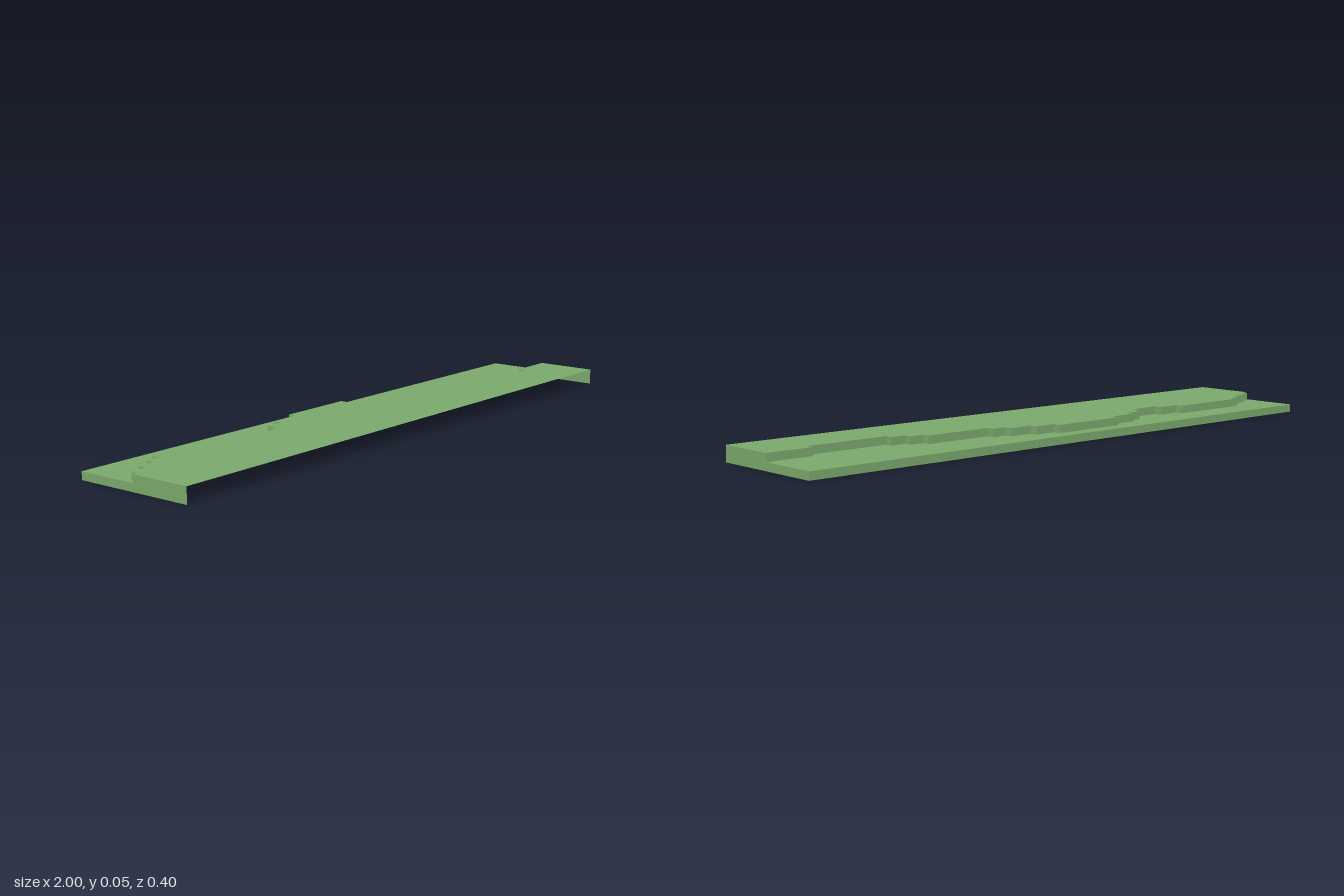
import * as THREE from 'three';

const LOW = 0.025, HIGH = 0.05, DEPTH = 0.2;

// Stepped cliff line: [x where the run ends, z of the run]
const RUNS = [
  [-0.98, 0], [-0.93, -0.025], [-0.875, -0.05], [-0.83, -0.075], [-0.555, -0.1],
  [-0.48, -0.075], [-0.375, -0.05], [-0.355, -0.075], [-0.3, -0.1], [-0.203, -0.125],
  [0.05, -0.15], [0.122, -0.125], [0.2, -0.1], [0.25, -0.075], [0.475, -0.05],
  [0.523, -0.025], [0.573, 0], [0.848, 0.025], [1, 0],
];

// Corner points of the cliff line, from x = -1 to x = 1
function cliffPath() {
  const path = [];
  let x = -1;
  for (const [end, z] of RUNS) {
    path.push([x, z], [end, z]);
    x = end;
  }
  return path;
}

// Flat horizontal face from an [x, z] outline
function flatFace(outline, y) {
  const shape = new THREE.Shape(outline.map(([x, z]) => new THREE.Vector2(x, -z)));
  return new THREE.ShapeGeometry(shape).rotateX(-Math.PI / 2).translate(0, y, 0);
}

// Vertical faces standing along an [x, z] path
function wall(path, y0, y1) {
  const pos = [];
  for (let i = 0; i < path.length - 1; i++) {
    const [ax, az] = path[i], [bx, bz] = path[i + 1];
    pos.push(ax, y0, az, ax, y1, az, bx, y1, bz);
    pos.push(ax, y0, az, bx, y1, bz, bx, y0, bz);
  }
  const geo = new THREE.BufferGeometry();
  geo.setAttribute('position', new THREE.Float32BufferAttribute(pos, 3));
  geo.computeVertexNormals();
  return geo;
}

export function createModel() {
  const group = new THREE.Group();
  group.name = 'terrainStrip';
  const grass = new THREE.MeshStandardMaterial({ color: 0x7aa86b, side: THREE.DoubleSide });
  grass.name = 'grassGreen';
  const add = (name, geo) => {
    const mesh = new THREE.Mesh(geo, grass);
    mesh.name = name;
    group.add(mesh);
  };
  const cliff = cliffPath();

  // Two ground levels meeting at the cliff
  add('upperGround', flatFace([[-1, DEPTH], [1, DEPTH], ...[...cliff].reverse()], HIGH));
  add('lowerGround', flatFace([...cliff, [1, -DEPTH], [-1, -DEPTH]], LOW));
  add('cliffFace', wall(cliff, LOW, HIGH));

  // Thin skirts; the front and underside stay open
  add('backSkirt', wall([[-1, -DEPTH], [1, -DEPTH]], 0, LOW));
  for (const [side, name] of [[1, 'left'], [-1, 'right']]) {
    const edge = (za, zb) => (side > 0 ? [[1, za], [1, zb]] : [[-1, zb], [-1, za]]);
    add(name + 'LowSkirt', wall(edge(-DEPTH, 0), 0, LOW));
    add(name + 'HighSkirt', wall(edge(0, DEPTH), 0, HIGH));
  }
  return group;
}
